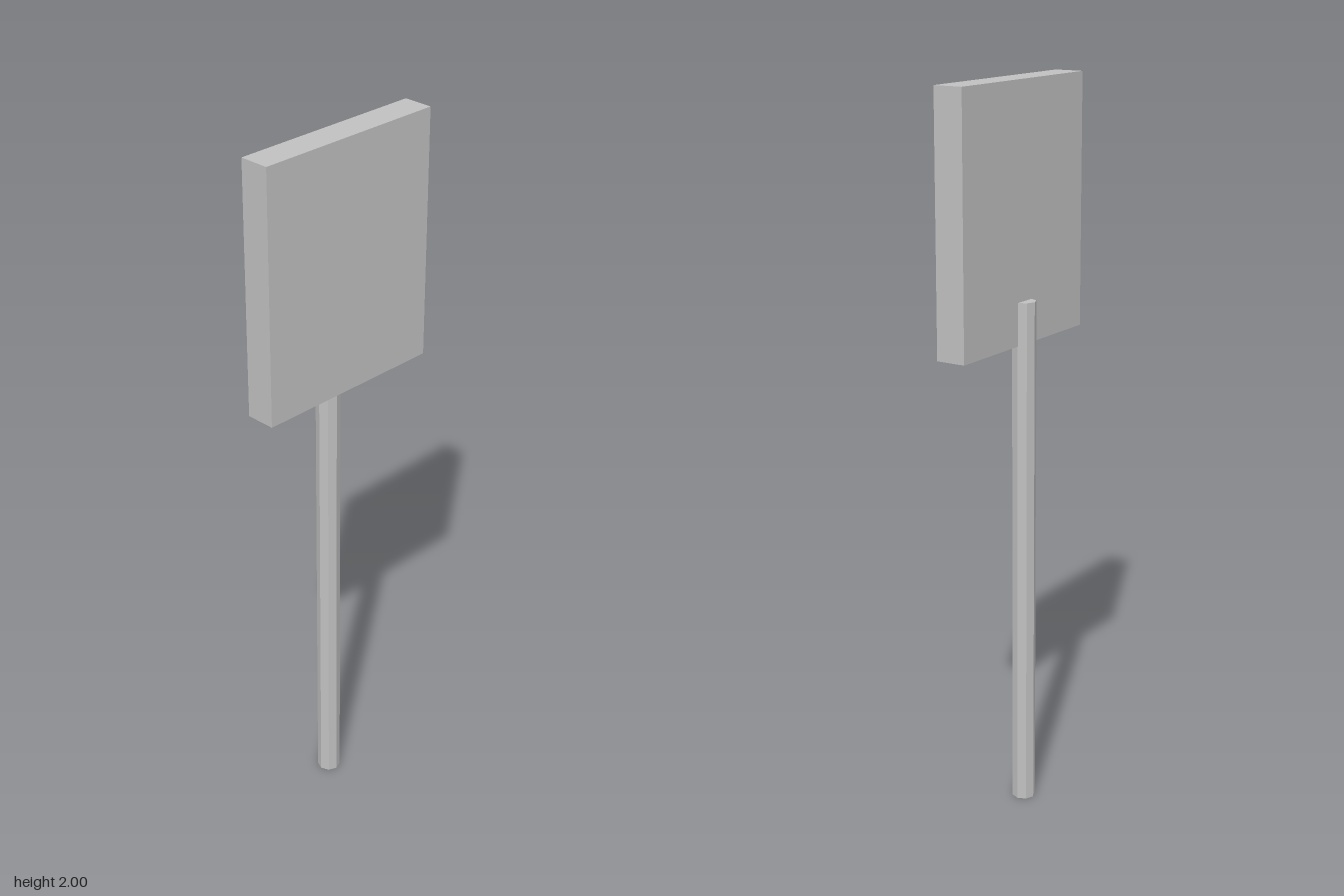
import * as THREE from 'three';

export function createModel() {
  const group = new THREE.Group();
  const grey = new THREE.MeshStandardMaterial({ color: 0xc0c0c0, flatShading: true });
  grey.name = 'light grey';

  const add = (name, geometry, x, y, z) => {
    const mesh = new THREE.Mesh(geometry, grey);
    mesh.name = name;
    mesh.position.set(x, y, z);
    group.add(mesh);
  };

  // Eight-sided post, half sunk into the back of the panel
  const postHeight = 1.43;
  add('post', new THREE.CylinderGeometry(0.0325, 0.0325, postHeight, 8), -0.0255, postHeight / 2, 0);

  // Thick sign panel facing +x
  const bottom = 1.314, top = 2;
  add('signPanel', new THREE.BoxGeometry(0.083, top - bottom, 0.556), 0.0145, (top + bottom) / 2, 0);

  return group;
}
